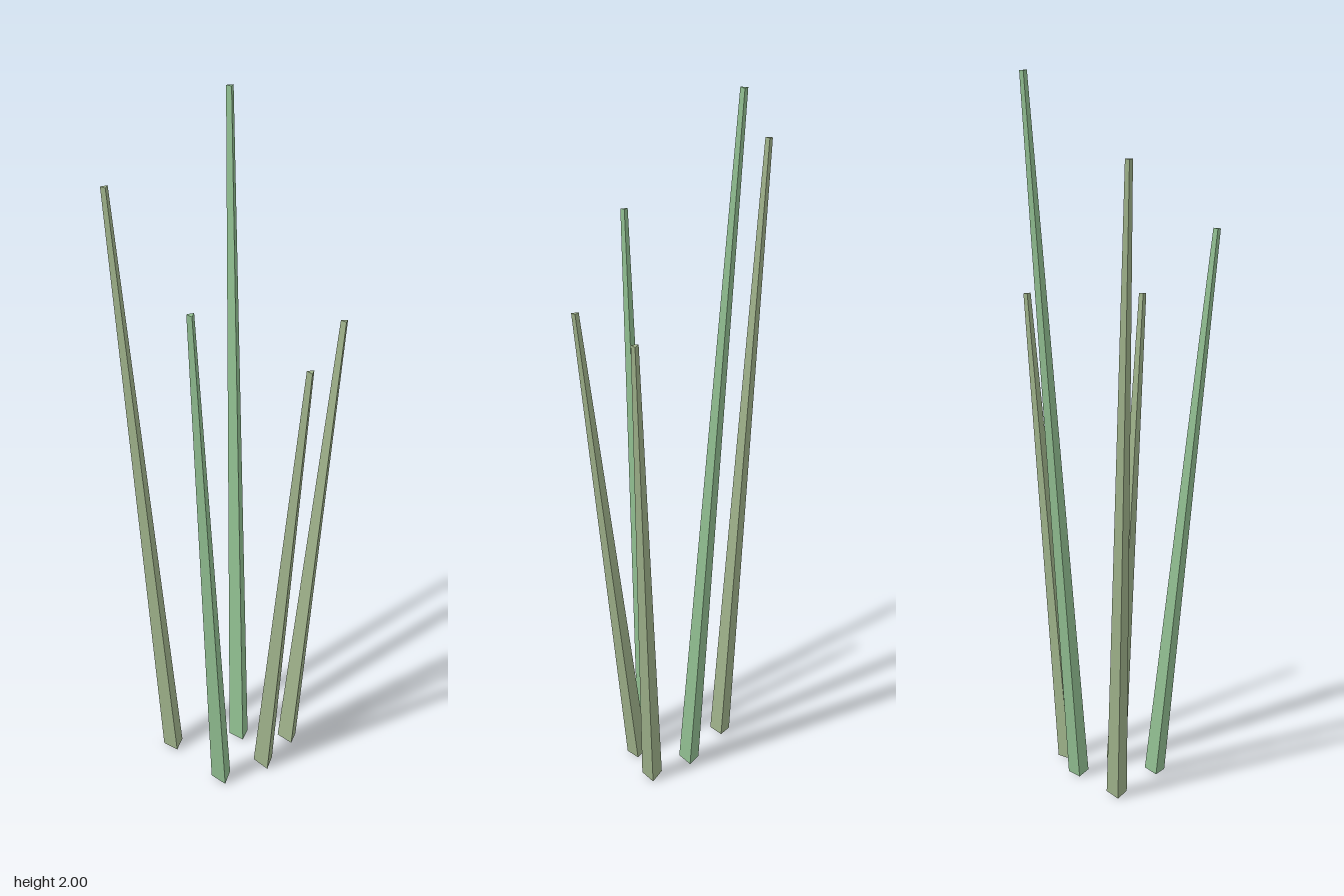
import * as THREE from 'three';

const UP = new THREE.Vector3(0, 1, 0);
const BASE_RADIUS = 0.0325;
const TIP_RADIUS = 0.012;

// Tapered three-sided blade running from its base centre to its tip centre
function makeBlade(name, color, base, tip) {
  const from = new THREE.Vector3(...base);
  const axis = new THREE.Vector3(...tip).sub(from);
  const length = axis.length();

  const geometry = new THREE.CylinderGeometry(TIP_RADIUS, BASE_RADIUS, length, 3);
  geometry.rotateY(Math.PI); // one ridge points to the back, a flat side to the front
  geometry.translate(0, length / 2, 0);

  const blade = new THREE.Mesh(
    geometry,
    new THREE.MeshStandardMaterial({ color, flatShading: true })
  );
  blade.name = name;
  blade.position.copy(from);
  blade.quaternion.setFromUnitVectors(UP, axis.normalize());
  return blade;
}

export function createModel() {
  const group = new THREE.Group();
  group.name = 'grassTuft';

  const green = 0x8fbc8f;
  const sage = 0x9caf88;

  // Five blades in a ring, leaning outwards
  const blades = [
    ['leftBlade', sage, [0.111, 0.004, 0.002], [0.274, 1.354, 0.003]],
    ['frontBlade', green, [0.075, 0.004, 0.142], [0.125, 1.569, 0.298]],
    ['frontRightBlade', sage, [-0.143, 0.004, 0.127], [-0.276, 1.784, 0.223]],
    ['backRightBlade', green, [-0.038, 0.004, -0.046], [-0.17, 1.999, -0.142]],
    ['backLeftBlade', sage, [0.075, 0.004, -0.138], [0.125, 1.354, -0.293]],
  ];
  for (const spec of blades) group.add(makeBlade(...spec));

  return group;
}
